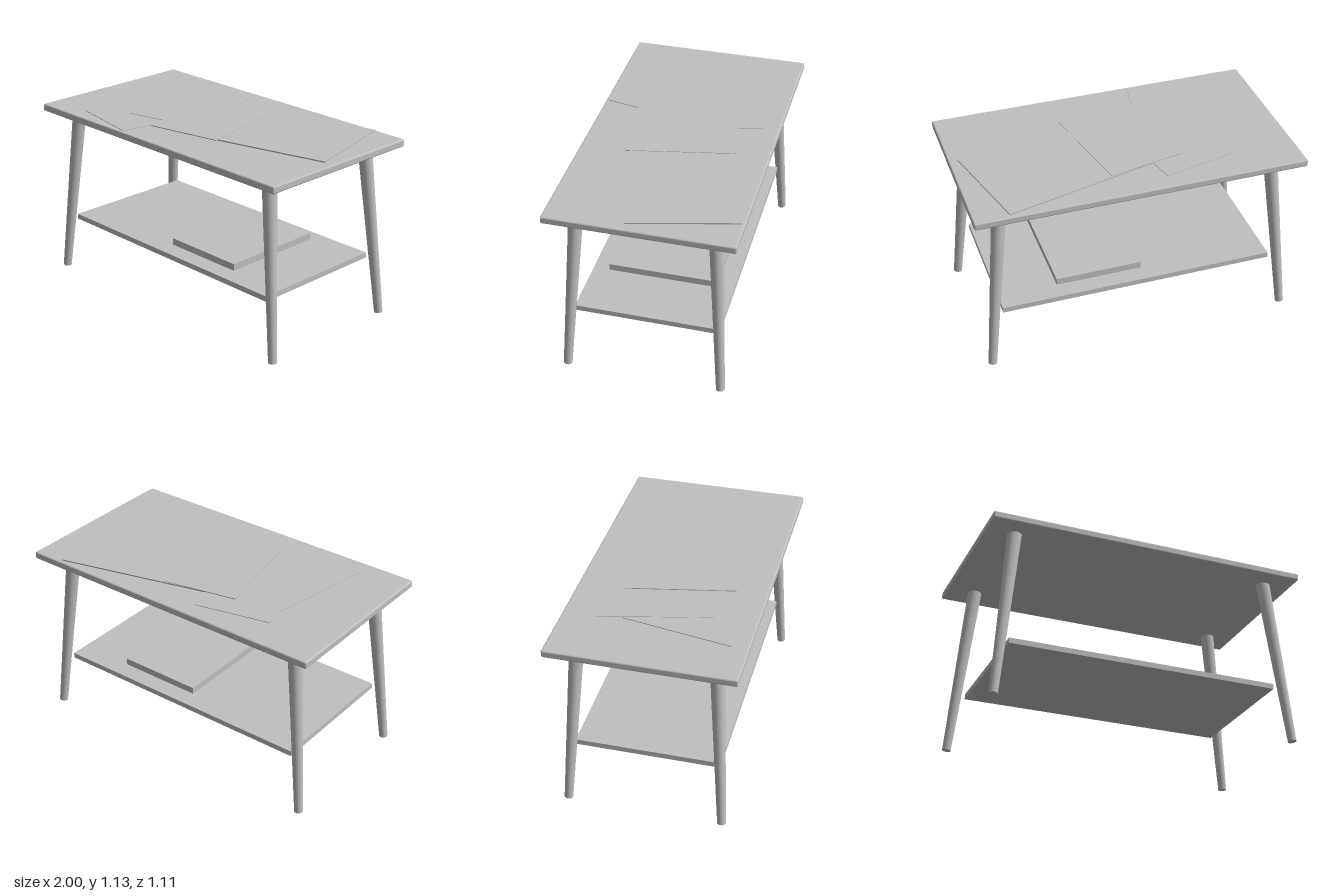
import * as THREE from 'three';
import { RoundedBoxGeometry } from 'three/addons/geometries/RoundedBoxGeometry.js';

export function createModel() {
  const group = new THREE.Group();
  group.name = 'coffeeTable';
  const grey = new THREE.MeshStandardMaterial({ color: 0xc0c0c0 });
  grey.name = 'light grey';

  function add(name, geometry, x, y, z, turn = 0) {
    const mesh = new THREE.Mesh(geometry, grey);
    mesh.name = name;
    mesh.position.set(x, y, z);
    mesh.rotation.y = THREE.MathUtils.degToRad(turn);
    group.add(mesh);
    return mesh;
  }

  // Tabletop with softened edges
  add('tabletop', new RoundedBoxGeometry(2, 0.045, 1.106, 3, 0.01), 0, 1.0925, 0);

  // Lower shelf and the flat box lying on it
  add('shelf', new THREE.BoxGeometry(1.69, 0.033, 0.87), 0, 0.362, 0);
  add('shelfBox', new THREE.BoxGeometry(0.53, 0.042, 0.666), 0.22, 0.406, 0);

  // Four tapered legs, splayed outwards
  const up = new THREE.Vector3(0, 1, 0);
  for (const sx of [1, -1]) {
    for (const sz of [1, -1]) {
      const foot = new THREE.Vector3(0.935 * sx, 0.004, 0.467 * sz);
      const top = new THREE.Vector3(0.825 * sx, 1.074, 0.401 * sz);
      const axis = top.clone().sub(foot);
      const mid = foot.clone().add(top).multiplyScalar(0.5);
      const leg = add((sz > 0 ? 'front' : 'back') + (sx > 0 ? 'LeftLeg' : 'RightLeg'),
        new THREE.CylinderGeometry(0.043, 0.026, axis.length(), 32), mid.x, mid.y, mid.z);
      leg.quaternion.setFromUnitVectors(up, axis.normalize());
    }
  }

  // Loose sheets on the tabletop: name, width, depth, x, z, bottom, top, turn
  const sheets = [
    ['bottomSheet', 0.472, 0.666, -0.418, 0.165, 1.115, 1.119, -10.3],
    ['leftSheet', 0.468, 0.66, -0.316, -0.078, 1.118, 1.1215, 12.8],
    ['largeSheet', 0.94, 0.64, 0.414, -0.11, 1.118, 1.1255, 14.1],
    ['topSheet', 0.47, 0.652, -0.02, 0.003, 1.1235, 1.1285, 11.4],
  ];
  for (const [name, w, d, x, z, y0, y1, turn] of sheets) {
    add(name, new THREE.BoxGeometry(w, y1 - y0, d), x, (y0 + y1) / 2, z, turn);
  }

  return group;
}
